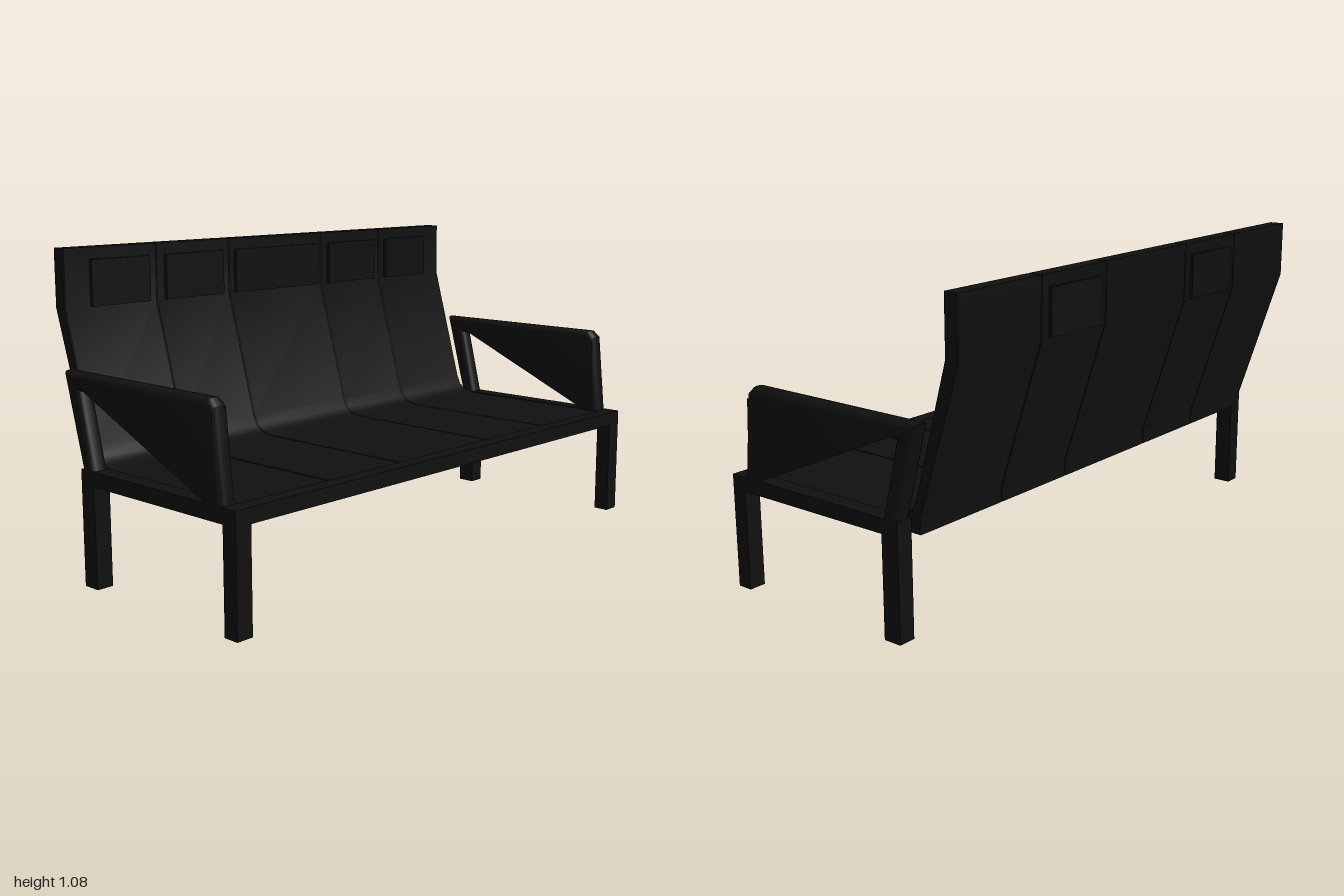
import * as THREE from 'three';
import { toCreasedNormals } from 'three/addons/utils/BufferGeometryUtils.js';

const material = new THREE.MeshStandardMaterial({ color: 0x101010 });

// Extrude a side profile of [z, y] points across x, with rounded or chamfered edges
function sideExtrude(outline, x0, x1, bevel, segments, hole) {
  const toVectors = (points) => points.map(([z, y]) => new THREE.Vector2(z, y));
  const shape = new THREE.Shape(toVectors(outline));
  if (hole) shape.holes.push(new THREE.Path(toVectors(hole)));
  const geometry = new THREE.ExtrudeGeometry(shape, {
    depth: x1 - x0 - 2 * bevel,
    bevelThickness: bevel,
    bevelSize: bevel,
    bevelOffset: -bevel,
    bevelSegments: segments,
  });
  geometry.rotateY(-Math.PI / 2);
  geometry.translate(x1 - bevel, 0, 0);
  return toCreasedNormals(geometry, 0.6);
}

export function createModel() {
  const bench = new THREE.Group();
  bench.name = 'bench';

  const add = (name, geometry) => {
    const mesh = new THREE.Mesh(geometry, material);
    mesh.name = name;
    bench.add(mesh);
  };
  // Box given by its limits on each axis
  const addBox = (name, [x0, x1], [y0, y1], [z0, z1]) => {
    const geometry = new THREE.BoxGeometry(x1 - x0, y1 - y0, z1 - z0);
    geometry.translate((x0 + x1) / 2, (y0 + y1) / 2, (z0 + z1) / 2);
    add(name, geometry);
  };

  // Seat and backrest: one bent shell in five sections with fine seams
  const shell = [
    [0.42, 0.34], [0.42, 0.388], [-0.2, 0.388], [-0.24, 0.396], [-0.268, 0.415],
    [-0.285, 0.45], [-0.408, 0.885], [-0.408, 1.08], [-0.46, 1.08], [-0.46, 0.885],
    [-0.3, 0.39], [-0.3, 0.34],
  ];
  const seams = [-0.94, -0.565, -0.235, 0.235, 0.565, 0.94];
  for (let i = 0; i < 5; i++) {
    add('seatSection', sideExtrude(shell, seams[i], seams[i + 1], 0.003, 1));
  }

  // Front rail
  addBox('frontRail', [-0.94, 0.94], [0.34, 0.39], [0.415, 0.47]);

  // Headrest pads on the front, two of them also showing at the back
  const pads = [[-0.84, -0.6], [-0.53, -0.27], [-0.21, 0.21], [0.27, 0.53], [0.6, 0.84]];
  pads.forEach((span, i) => {
    addBox('headrestPad', span, [0.885, 1.04], [i % 2 ? -0.47 : -0.43, -0.395]);
  });

  // Armrest loop: front post, top bar and slanted rear post
  const armOutline = [
    [0.415, 0.375], [0.383, 0.675], [0.355, 0.698], [-0.348, 0.698],
    [-0.265, 0.39], [-0.265, 0.345], [0.415, 0.345],
  ];
  const armOpening = [[0.355, 0.39], [-0.2, 0.39], [-0.263, 0.637], [0.355, 0.637]];

  for (const side of [-1, 1]) {
    const label = side > 0 ? 'left' : 'right';
    const span = side > 0 ? [0.94, 1] : [-1, -0.94];
    add(label + 'Armrest', sideExtrude(armOutline, ...span, 0.022, 4, armOpening));
    addBox(label + 'SideRail', span, [0.34, 0.39], [-0.2, 0.415]);
    addBox(label + 'FrontLeg', span, [0, 0.39], [0.415, 0.47]);
    addBox(label + 'BackLeg', span, [0, 0.39], [-0.265, -0.2]);
  }

  return bench;
}
